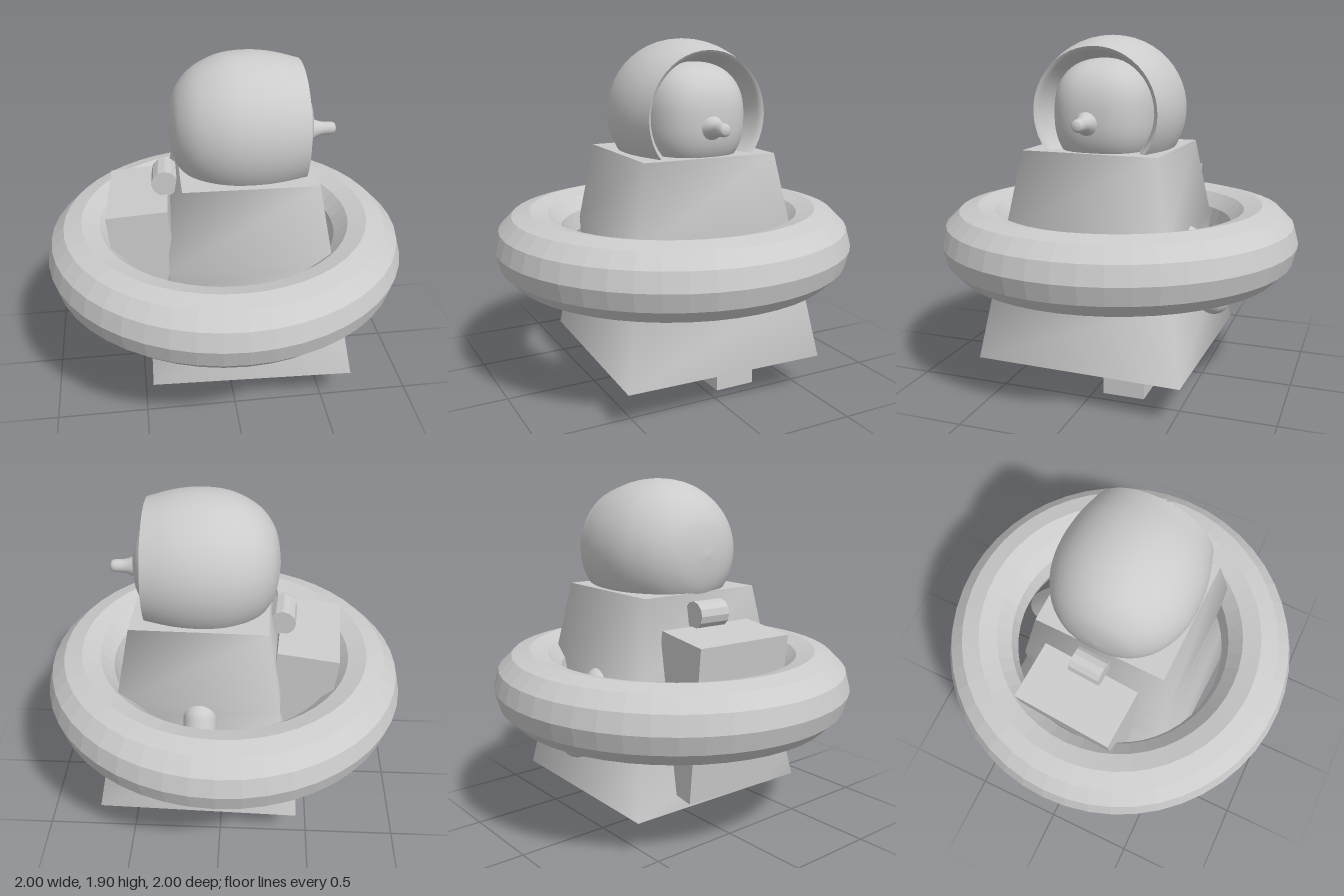
import * as THREE from 'three';

export function createModel() {
  const group = new THREE.Group();
  const smooth = new THREE.MeshStandardMaterial({ color: 0xcccccc, side: THREE.DoubleSide });
  const flat = new THREE.MeshStandardMaterial({ color: 0xcccccc, flatShading: true });

  const add = (name, geometry, material, x = 0, y = 0, z = 0) => {
    const mesh = new THREE.Mesh(geometry, material);
    mesh.name = name;
    mesh.position.set(x, y, z);
    group.add(mesh);
    return mesh;
  };

  // Lathe turned so its axis runs along +x; points are [along, radius]
  const latheX = (points, segments) => {
    const curve = new THREE.SplineCurve(points.map(([a, r]) => new THREE.Vector2(r, a)));
    const profile = curve.getPoints(32).map(p => new THREE.Vector2(Math.max(p.x, 0), p.y));
    return new THREE.LatheGeometry(profile, segments).rotateZ(-Math.PI / 2);
  };

  // Robe: four-cornered loops from hem to neck, pinched a little under the ring
  const hem = [[0.645, 0.573], [0.68, -0.545], [-0.43, -0.573], [-0.46, 0.53]];
  const neck = [[0.45, 0.385], [0.475, -0.36], [-0.245, -0.375], [-0.26, 0.37]];
  const levels = [[0.205, 1], [0.6, 1], [0.76, 0.95], [0.88, 1], [1.31, 1]];
  const positions = [], index = [];
  for (const [y, pinch] of levels) {
    const t = (y - 0.205) / 1.105;
    hem.forEach(([x, z], i) => {
      const px = THREE.MathUtils.lerp(x, neck[i][0], t);
      const pz = THREE.MathUtils.lerp(z, neck[i][1], t);
      positions.push(0.1 + (px - 0.1) * pinch, y, pz * pinch);
    });
  }
  for (let l = 0; l < levels.length - 1; l++) {
    for (let i = 0; i < 4; i++) {
      const a = l * 4 + i, b = l * 4 + (i + 1) % 4;
      index.push(a, b, b + 4, a, b + 4, a + 4);
    }
  }
  const robe = new THREE.BufferGeometry();
  robe.setAttribute('position', new THREE.Float32BufferAttribute(positions, 3));
  robe.setIndex(index);
  robe.computeVertexNormals();
  add('robe', robe, smooth);

  // Flat caps closing the robe at hem and neck
  for (const [name, corners, y] of [['robeHem', hem, 0.205], ['robeNeck', neck, 1.31]]) {
    const shape = new THREE.Shape(corners.map(([x, z]) => new THREE.Vector2(x, -z)));
    add(name, new THREE.ShapeGeometry(shape).rotateX(-Math.PI / 2), smooth, 0, y, 0);
  }

  // Hood: open shell facing +x with a turned-in lip
  add('hood', latheX([[-0.3, 0], [-0.285, 0.12], [-0.25, 0.215], [-0.17, 0.305], [-0.04, 0.37],
    [0.1, 0.39], [0.25, 0.378], [0.405, 0.337]], 48), smooth, 0, 1.51, 0);
  add('hoodLip', latheX([[0.405, 0.337], [0.38, 0.315], [0.3, 0.29], [0.2, 0.27]], 48), smooth, 0, 1.51, 0);

  // Face: sphere squared off slightly
  const face = new THREE.SphereGeometry(1, 40, 28);
  const p = face.attributes.position;
  const square = v => Math.sign(v) * Math.abs(v) ** 0.8;
  for (let i = 0; i < p.count; i++) {
    p.setXYZ(i, square(p.getX(i)) * 0.3, square(p.getY(i)) * 0.29, square(p.getZ(i)) * 0.27);
  }
  face.computeVertexNormals();
  add('face', face, smooth, 0.18, 1.495, 0);

  // Nose
  add('nose', latheX([[0.44, 0.085], [0.485, 0.055], [0.53, 0.038], [0.585, 0.034], [0.605, 0.024], [0.612, 0]], 20),
    smooth, 0, 1.465, 0.015);

  // Swim ring around the waist
  const ring = add('swimRing', new THREE.TorusGeometry(0.8, 0.2, 12, 48).rotateX(Math.PI / 2), flat, 0, 0.777, 0);
  ring.rotation.set(0.004, 0, 0.008);

  // Single arm reaching down on the -z side
  const shoulder = new THREE.Vector3(0.11, 0.8, -0.42), hand = new THREE.Vector3(0.11, 0.5, -0.58);
  const reach = hand.clone().sub(shoulder);
  const arm = add('arm', new THREE.CapsuleGeometry(0.09, reach.length(), 10, 24), smooth);
  arm.position.copy(shoulder).add(hand).multiplyScalar(0.5);
  arm.quaternion.setFromUnitVectors(new THREE.Vector3(0, 1, 0), reach.normalize());

  // Backpack leaning away from the back, with a roll on top
  const pack = add('backpack', new THREE.BoxGeometry(0.33, 0.84, 0.57), flat, -0.435, 0.71, -0.03);
  pack.rotation.set(0, -0.07, 0.1);
  add('bedroll', new THREE.CylinderGeometry(0.073, 0.073, 0.18, 12).rotateX(Math.PI / 2),
    flat, -0.325, 1.207, -0.025).rotation.y = -0.07;

  // Leg and shoe
  add('leg', new THREE.BoxGeometry(0.22, 0.2, 0.22), flat, 0.16, 0.2, -0.17);
  add('shoe', new THREE.BoxGeometry(0.385, 0.138, 0.23), flat, 0.24, 0.069, -0.17);

  return group;
}
